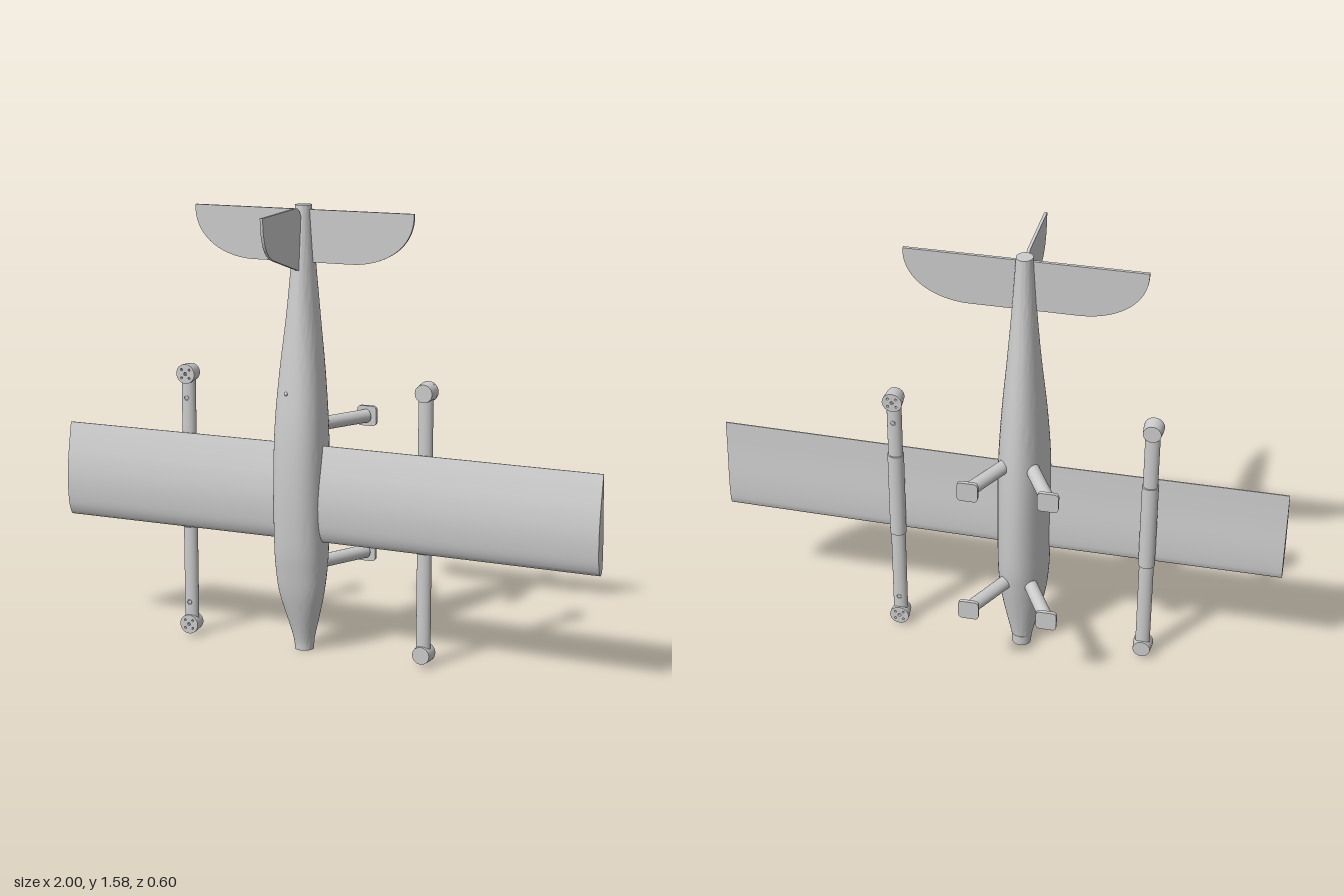
import * as THREE from 'three';
import { toCreasedNormals } from 'three/addons/utils/BufferGeometryUtils.js';

const CX = -0.09; // fuselage centre line
const material = new THREE.MeshStandardMaterial({ color: 0xcccccc });

function addMesh(parent, name, geometry, x = 0, y = 0, z = 0) {
  const mesh = new THREE.Mesh(geometry, material);
  mesh.name = name;
  mesh.position.set(x, y, z);
  parent.add(mesh);
  return mesh;
}

// Skins closed rings of points and caps both ends
function loft(rings, crease = 0.6) {
  const n = rings[0].length;
  const positions = rings.flat(2);
  const index = [];
  for (let j = 0; j < rings.length - 1; j++) {
    for (let i = 0; i < n; i++) {
      const a = j * n + i, b = j * n + (i + 1) % n;
      index.push(a, a + n, b, b, a + n, b + n);
    }
  }
  [[rings[0], 0, false], [rings[rings.length - 1], (rings.length - 1) * n, true]].forEach(([ring, base, flip]) => {
    const centre = [0, 1, 2].map((k) => ring.reduce((sum, p) => sum + p[k], 0) / n);
    const c = positions.length / 3;
    positions.push(...centre);
    for (let i = 0; i < n; i++) {
      const a = base + i, b = base + (i + 1) % n;
      if (flip) index.push(c, b, a);
      else index.push(c, a, b);
    }
  });
  const g = new THREE.BufferGeometry();
  g.setAttribute('position', new THREE.Float32BufferAttribute(positions, 3));
  g.setIndex(index);
  return toCreasedNormals(g, crease);
}

function plate(shape, depth) {
  const g = new THREE.ExtrudeGeometry(shape, { depth, bevelEnabled: false, curveSegments: 24 });
  return toCreasedNormals(g.translate(0, 0, -depth / 2), 0.6);
}

// Egg-shaped sections: y, half width, front z, back z
function fuselageGeometry() {
  const stations = [
    [0, 0.033, -0.008, -0.073], [0.05, 0.04, 0, -0.077], [0.2, 0.076, 0.043, -0.111],
    [0.3, 0.088, 0.062, -0.133], [0.4, 0.091, 0.075, -0.148], [0.6, 0.091, 0.083, -0.158],
    [0.8, 0.088, 0.076, -0.155], [1.0, 0.075, 0.055, -0.14], [1.2, 0.056, 0.031, -0.115],
    [1.4, 0.04, 0.008, -0.088], [1.58, 0.028, -0.01, -0.072],
  ];
  const curve = (k) => new THREE.CatmullRomCurve3(
    stations.map((s) => new THREE.Vector3(s[1], s[0], s[k])), false, 'catmullrom', 0.5);
  const front = curve(2), back = curve(3);
  const rings = [];
  for (let j = 0; j <= 50; j++) {
    const f = front.getPoint(j / 50), b = back.getPoint(j / 50);
    const depth = f.z - b.z;
    const egg = THREE.MathUtils.smoothstep(f.x, 0.035, 0.085);
    const mid = b.z + depth * (0.5 + 0.12 * egg);
    const ring = [];
    for (let i = 0; i < 48; i++) {
      const t = (i / 48) * Math.PI * 2, c = Math.cos(t), s = Math.sin(t);
      const p = s > 0 ? 1 - 0.15 * egg : 1;
      const x = Math.sign(c) * Math.abs(c) ** p;
      const z = Math.sign(s) * Math.abs(s) ** p;
      ring.push([CX + f.x * x, f.y, mid + z * (s > 0 ? f.z - mid : mid - b.z)]);
    }
    rings.push(ring);
  }
  return loft(rings);
}

// Cambered aerofoil, with a slight rise towards the left tip
function wingGeometry() {
  const v = (y, z) => new THREE.Vector2(y, z);
  const front = new THREE.SplineCurve([v(0.755, 0), v(0.7, 0.012), v(0.62, 0.027), v(0.54, 0.034), v(0.46, 0.028), v(0.42, 0.013), v(0.41, 0)]);
  const back = new THREE.SplineCurve([v(0.41, 0), v(0.418, -0.015), v(0.45, -0.021), v(0.53, -0.02), v(0.65, -0.01), v(0.755, -0.004)]);
  const profile = [...front.getPoints(24), ...back.getPoints(20).slice(1)];
  const rings = [[1, 0.017], [0, 0], [-1, 0]].map(([x, rise]) => profile.map((p) => [x, p.x, p.y + rise]));
  return loft(rings);
}

// Motor pod: disc with screw holes over a solid base
function motorPod(parent, y) {
  const face = new THREE.Shape().absarc(0, 0, 0.035, 0, Math.PI * 2);
  const holes = [[0, 0, 0.006]];
  for (let i = 0; i < 4; i++) {
    const a = Math.PI / 4 + i * Math.PI / 2;
    holes.push([0.021 * Math.cos(a), 0.021 * Math.sin(a), 0.004]);
  }
  for (const [x, hy, r] of holes) face.holes.push(new THREE.Path().absarc(x, hy, r, 0, Math.PI * 2, true));
  addMesh(parent, 'motorPodFace', plate(face, 0.012), 0, y, 0.021);
  const base = new THREE.CylinderGeometry(0.035, 0.031, 0.042, 40).rotateX(Math.PI / 2);
  addMesh(parent, 'motorPodBase', base, 0, y, -0.006);
}

function motorBoom(name, x, facing) {
  const boom = new THREE.Group();
  boom.name = name;
  addMesh(boom, 'boomTube', new THREE.CylinderGeometry(0.026, 0.026, 0.92, 32).scale(1, 1, 0.78), 0, 0.505, 0);
  addMesh(boom, 'boomSleeve', new THREE.CylinderGeometry(0.029, 0.029, 0.335, 32).scale(1, 1, 0.9), 0, 0.573, 0);
  for (const y of [0.043, 0.967]) motorPod(boom, y);
  // Small cable ports in the tube
  for (const y of [0.125, 0.88]) {
    addMesh(boom, 'cablePort', new THREE.TorusGeometry(0.008, 0.0015, 8, 20), 0, y, 0.0205);
  }
  boom.position.set(x, 0, -0.027);
  boom.rotation.y = facing;
  return boom;
}

function landingLeg(side, y) {
  const leg = new THREE.Group();
  leg.name = side > 0 ? 'leftLandingLeg' : 'rightLandingLeg';
  const from = new THREE.Vector3(CX + side * 0.04, y, -0.1);
  const to = new THREE.Vector3(CX + side * 0.137, y, -0.283);
  const path = new THREE.LineCurve3(from, to);
  addMesh(leg, 'strut', new THREE.TubeGeometry(path, 1, 0.024, 28));
  // Rounded square foot
  const w = 0.036, r = 0.014;
  const foot = new THREE.Shape();
  foot.absarc(w - r, w - r, r, 0, Math.PI / 2);
  foot.absarc(r - w, w - r, r, Math.PI / 2, Math.PI);
  foot.absarc(r - w, r - w, r, Math.PI, Math.PI * 1.5);
  foot.absarc(w - r, r - w, r, Math.PI * 1.5, Math.PI * 2);
  addMesh(leg, 'foot', plate(foot, 0.013), to.x, y, -0.289);
  return leg;
}

// Flat tailplane with swept, rounded leading corners
function tailplaneGeometry() {
  const s = new THREE.Shape();
  s.moveTo(-0.405, 1.565);
  s.bezierCurveTo(-0.41, 1.45, -0.3, 1.385, -0.18, 1.385);
  s.lineTo(0.18, 1.385);
  s.bezierCurveTo(0.3, 1.385, 0.41, 1.45, 0.405, 1.565);
  s.closePath();
  return plate(s, 0.011);
}

// Fin drawn in z and y, then turned to face sideways
function finGeometry() {
  const s = new THREE.Shape();
  s.moveTo(-0.03, 1.37);
  s.lineTo(0.0125, 1.36);
  s.lineTo(0.2, 1.414);
  s.bezierCurveTo(0.28, 1.435, 0.295, 1.49, 0.3, 1.567);
  s.lineTo(0.03, 1.573);
  s.quadraticCurveTo(0.005, 1.57, -0.005, 1.545);
  s.lineTo(-0.03, 1.545);
  s.closePath();
  return plate(s, 0.01).rotateY(-Math.PI / 2);
}

export function createModel() {
  const model = new THREE.Group();
  model.name = 'tailSitterAircraft';
  addMesh(model, 'fuselage', fuselageGeometry());
  addMesh(model, 'noseCollar', new THREE.CylinderGeometry(0.036, 0.034, 0.04, 40), CX, 0.02, -0.041);
  addMesh(model, 'wing', wingGeometry());
  addMesh(model, 'tailplane', tailplaneGeometry(), CX, 0, -0.035);
  addMesh(model, 'fin', finGeometry(), CX, 0, 0);
  model.add(motorBoom('rightMotorBoom', -0.53, 0));
  model.add(motorBoom('leftMotorBoom', 0.366, Math.PI));
  for (const y of [0.31, 0.81]) for (const side of [-1, 1]) model.add(landingLeg(side, y));
  // Sensor port on the belly
  addMesh(model, 'sensorPort', new THREE.SphereGeometry(0.007, 16, 12), CX - 0.023, 0.94, 0.06);
  return model;
}
